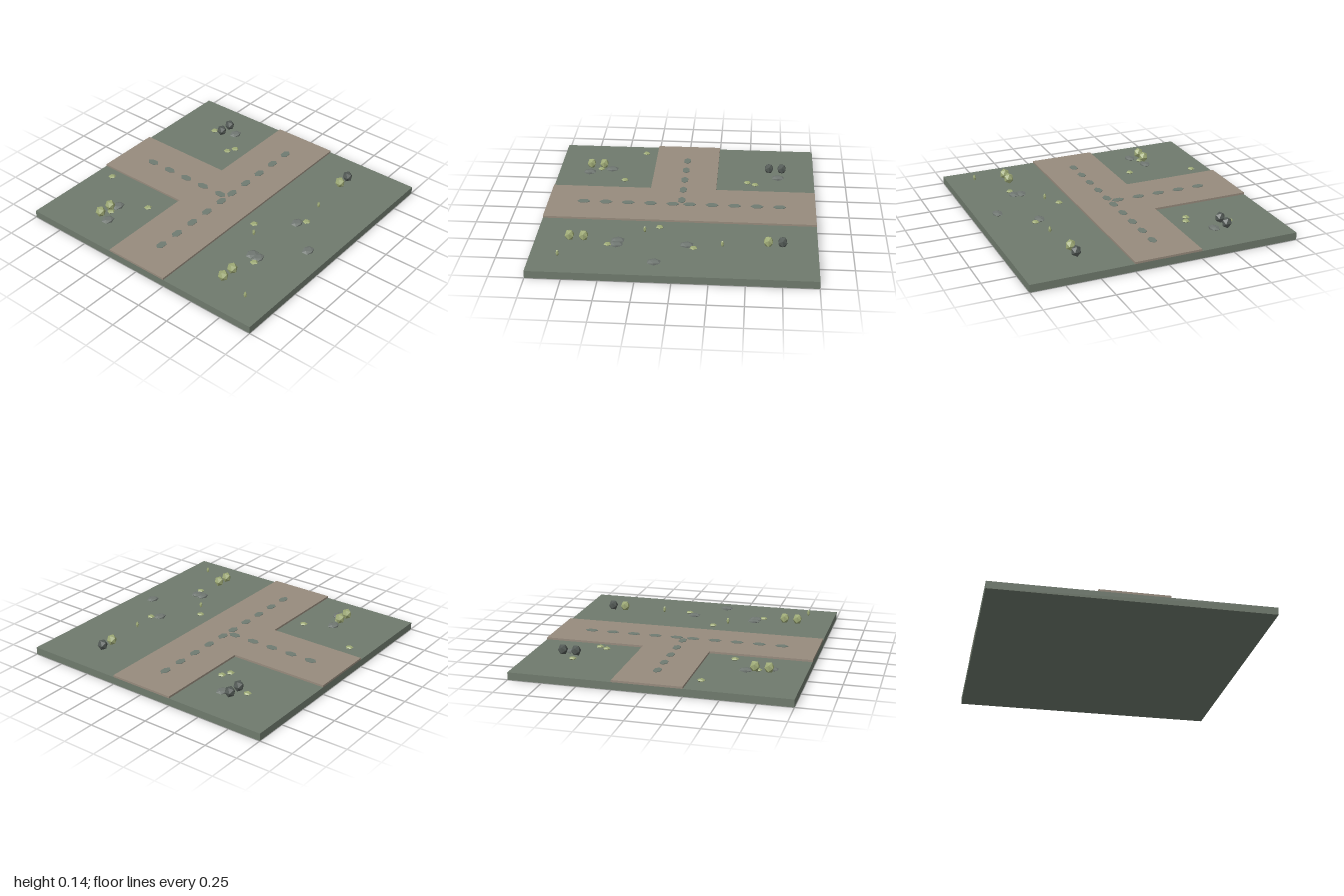
import * as THREE from 'three';

const mat = (name, color) => {
  const m = new THREE.MeshStandardMaterial({ color, flatShading: true });
  m.name = name;
  return m;
};

export function createModel() {
  const group = new THREE.Group();
  const grass = mat('grass', 0x6f7a6d);
  const dirt = mat('dirt', 0x978b7d);
  const paving = mat('paving', 0x6f7b72);
  const stone = mat('stone', 0x707772);
  const leaf = mat('leaf', 0x9eaa76);
  const darkLeaf = mat('darkLeaf', 0x525955);

  const add = (name, geometry, material, x, y, z) => {
    const mesh = new THREE.Mesh(geometry, material);
    mesh.name = name;
    mesh.position.set(x, y, z);
    group.add(mesh);
    return mesh;
  };

  // Ground slab
  const ground = 0.055, roadTop = 0.07;
  add('ground', new THREE.BoxGeometry(2, ground, 2), grass, 0, ground / 2, 0);

  // T-shaped road, one raised slab
  const t = new THREE.Shape([
    [-1, -0.25], [1, -0.25], [1, 0.25], [0.25, 0.25],
    [0.25, 1], [-0.25, 1], [-0.25, 0.25], [-1, 0.25],
  ].map(([x, y]) => new THREE.Vector2(x, y)));
  const road = new THREE.ExtrudeGeometry(t, { depth: roadTop - ground, bevelEnabled: false });
  road.rotateX(-Math.PI / 2);
  add('road', road, dirt, 0, ground, 0);

  // Stretched six-sided paving stones along both road centre lines
  const slab = new THREE.CylinderGeometry(1, 1, 0.004, 6);
  slab.scale(0.03, 1, 0.048);
  for (let i = 0; i < 5; i++) {
    const d = 0.063 + i * 0.1675;
    add('pavingStone', slab, paving, 0, roadTop + 0.002, -d);
    for (const side of [-1, 1]) {
      add('pavingStone', slab, paving, side * d, roadTop + 0.0015, 0).rotation.y = Math.PI / 2;
    }
  }

  // Faceted lump with given half sizes
  const lump = (x, y, z) => {
    const g = new THREE.IcosahedronGeometry(1, 0);
    g.scale(x / 0.8507, y / 0.8507, z / 0.8507);
    return g;
  };

  // Paired shrubs in the corners
  const shrub = lump(0.031, 0.036, 0.033);
  for (const [x, z, m] of [
    [-0.75, -0.575, leaf], [-0.65, -0.575, leaf], [0.65, -0.575, darkLeaf], [0.75, -0.575, darkLeaf],
    [-0.75, 0.575, leaf], [-0.65, 0.575, leaf], [0.65, 0.575, leaf], [0.75, 0.575, darkLeaf],
  ]) add('shrub', shrub, m, x, 0.105, z);

  // Flat rocks
  const rock = lump(0.045, 0.0125, 0.036);
  for (const [x, z] of [
    [-0.755, -0.5], [-0.585, -0.56], [0.72, -0.49], [-0.41, 0.56],
    [-0.415, 0.615], [0.08, 0.592], [-0.13, 0.84],
  ]) add('rock', rock, stone, x, 0.0675, z);

  // Low five-sided grass tufts
  const tuft = new THREE.LatheGeometry(
    [[0, -0.008], [0.018, -0.008], [0.029, 0], [0.018, 0.008], [0, 0.008]]
      .map(([x, y]) => new THREE.Vector2(x, y)), 5);
  for (const [x, z] of [
    [-0.34, -0.85], [-0.465, -0.37], [-0.67, -0.55], [0.65, -0.65], [0.485, -0.385],
    [0.545, -0.355], [-0.13, 0.36], [-0.475, 0.627], [0.13, 0.64],
  ]) add('grassTuft', tuft, leaf, x, 0.072, z);

  // Small upright buds
  const bud = lump(0.01, 0.022, 0.01);
  for (const [x, z] of [[-0.23, 0.435], [0.33, 0.605], [-0.8, 0.805]]) {
    add('bud', bud, leaf, x, 0.092, z);
  }
  return group;
}
